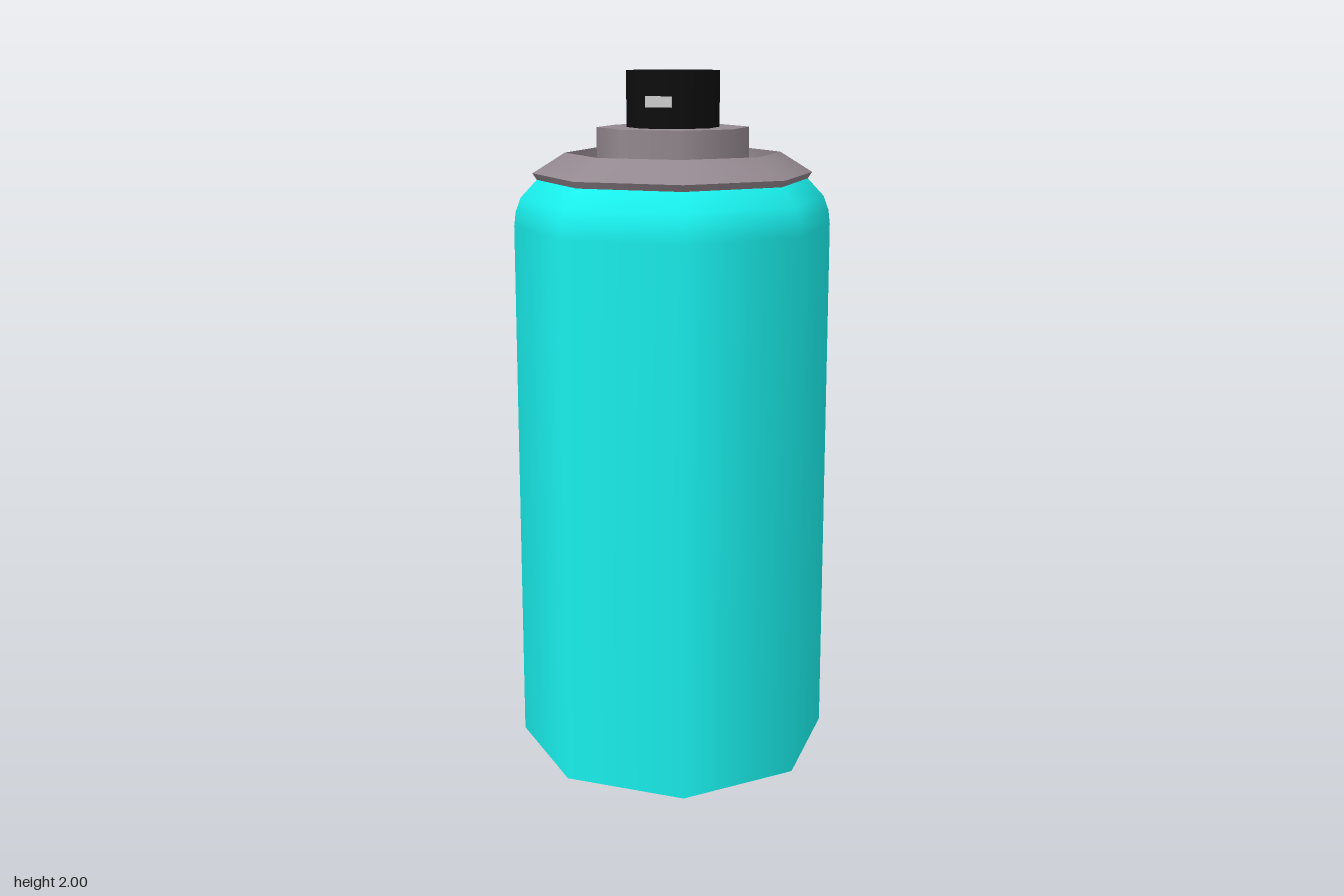
import * as THREE from 'three';
import { mergeGeometries } from 'three/addons/utils/BufferGeometryUtils.js';

const SIDES = 8;

// Smooth around the axis and along the whole [radius, y] profile
function turned(profile) {
  return new THREE.LatheGeometry(profile.map(([r, y]) => new THREE.Vector2(r, y)), SIDES);
}

// Smooth around the axis, with a hard edge at every profile point
function creased(profile) {
  return mergeGeometries(profile.slice(1).map((p, i) => turned([profile[i], p])));
}

export function createModel() {
  const model = new THREE.Group();
  model.name = 'sprayCan';

  const paint = new THREE.MeshStandardMaterial({ color: 0x19efec });
  const metal = new THREE.MeshStandardMaterial({ color: 0x93888f });
  const black = new THREE.MeshStandardMaterial({ color: 0x0d0d0d });
  const grey = new THREE.MeshStandardMaterial({ color: 0xcccccc });

  const add = (name, geometry, material) => {
    const mesh = new THREE.Mesh(geometry, material);
    mesh.name = name;
    model.add(mesh);
    return mesh;
  };

  // Can: slightly tapered wall, rounded shoulder
  add('canBody', turned([
    [0.462, 0.01], [0.457, 0.8], [0.452, 1.57], [0.447, 1.61], [0.432, 1.65], [0.385, 1.7], [0.36, 1.715],
  ]), paint);
  add('canBase', turned([[0, 0], [0.462, 0.01]]), paint);

  // Crimped rim with a sunken channel inside it
  add('rim', creased([
    [0.36, 1.69], [0.382, 1.695], [0.397, 1.718], [0.305, 1.775], [0.305, 1.74], [0.21, 1.74],
  ]), metal);

  // Valve collar
  add('collar', creased([[0.215, 1.74], [0.215, 1.845], [0, 1.845]]), metal);

  // Push-button nozzle
  add('nozzle', creased([[0.131, 1.84], [0.131, 2], [0, 2]]), black);

  // Spray outlet, set on the nozzle facet just right of the front
  const angle = -Math.PI / SIDES;
  const apothem = 0.131 * Math.cos(angle);
  const outlet = add('sprayOutlet', new THREE.BoxGeometry(0.076, 0.03, 0.006), grey);
  outlet.position.set(Math.sin(angle) * apothem, 1.917, Math.cos(angle) * apothem);
  outlet.rotation.y = angle;

  return model;
}
